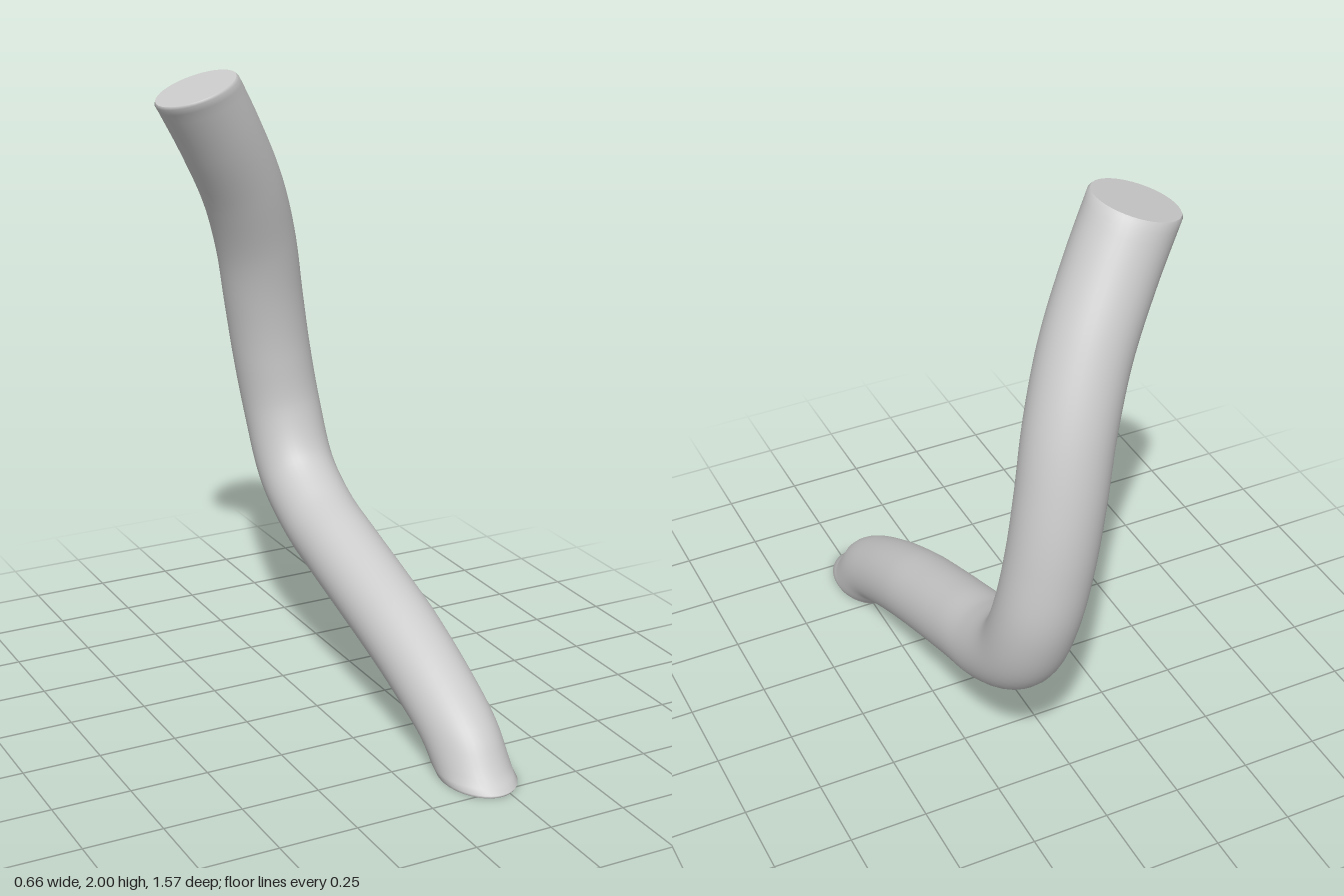
import * as THREE from 'three';

const SIDES = 40, STEPS = 90;
const V = (x, y, z) => new THREE.Vector3(x, y, z);

// Centre line from the foot to the upper end
const path = new THREE.CatmullRomCurve3([
  V(0.215, 0, 0.635), V(0.213, 0.105, 0.535), V(0.21, 0.19, 0.4), V(0.207, 0.285, 0.2),
  V(0.203, 0.36, 0), V(0.2, 0.43, -0.2), V(0.2, 0.495, -0.38), V(0.197, 0.61, -0.54),
  V(0.186, 0.8, -0.625), V(0.157, 1.0, -0.645), V(0.123, 1.2, -0.635), V(0.08, 1.4, -0.6),
  V(0.005, 1.6, -0.54), V(-0.1, 1.79, -0.475), V(-0.202, 1.955, -0.422),
]);
const footNormal = V(0, 1, 0), topNormal = V(-0.32, 0.95, 0).normalize();

// Ring round the path; near the ends its plane leans over to match the cut
function ring(t, inset = 1, lift = 0) {
  const centre = path.getPointAt(t), tangent = path.getTangentAt(t);
  const u = V(1, 0, 0).addScaledVector(tangent, -tangent.x).normalize();
  const v = tangent.clone().cross(u);
  const radius = t < 0.2 ? THREE.MathUtils.lerp(0.113, 0.125, t / 0.2)
    : THREE.MathUtils.lerp(0.125, 0.136, (t - 0.2) / 0.8);
  const n = tangent.clone()
    .lerp(footNormal, 1 - THREE.MathUtils.smoothstep(t, 0, 0.2))
    .lerp(topNormal, THREE.MathUtils.smoothstep(t, 0.85, 1)).normalize();
  const points = [];
  for (let j = 0; j < SIDES; j++) {
    const a = (j / SIDES) * Math.PI * 2;
    const d = u.clone().multiplyScalar(Math.cos(a)).addScaledVector(v, Math.sin(a)).multiplyScalar(radius);
    d.addScaledVector(tangent, -d.dot(n) / tangent.dot(n));
    points.push(d.multiplyScalar(inset).add(centre).addScaledVector(n, lift));
  }
  return points;
}

function buildMesh(name, points, index, material) {
  const geometry = new THREE.BufferGeometry().setFromPoints(points);
  geometry.setIndex(index);
  geometry.computeVertexNormals();
  const mesh = new THREE.Mesh(geometry, material);
  mesh.name = name;
  return mesh;
}

// Flat end face closing a ring
function endCap(name, points, up, material) {
  const centre = points.reduce((s, p) => s.add(p), V(0, 0, 0)).divideScalar(SIDES);
  const index = [];
  for (let j = 0; j < SIDES; j++) {
    const k = (j + 1) % SIDES;
    index.push(SIDES, ...(up ? [j, k] : [k, j]));
  }
  return buildMesh(name, [...points, centre], index, material);
}

export function createModel() {
  const group = new THREE.Group();
  group.name = 'bentTube';
  const material = new THREE.MeshStandardMaterial({ color: 0xcccccc });

  // Smooth wall with a slightly softened rim at both ends
  const rings = [ring(0, 0.96), ring(0, 1, 0.01)];
  for (let i = 1; i < STEPS; i++) rings.push(ring(i / STEPS));
  rings.push(ring(1, 1, -0.008), ring(1, 0.96));

  const index = [];
  for (let i = 0; i < rings.length - 1; i++) {
    for (let j = 0; j < SIDES; j++) {
      const k = (j + 1) % SIDES;
      const a = i * SIDES + j, b = i * SIDES + k;
      index.push(a, b, a + SIDES, b, b + SIDES, a + SIDES);
    }
  }
  group.add(buildMesh('tubeWall', rings.flat(), index, material));

  // End faces
  group.add(endCap('footCap', rings[0], false, material));
  group.add(endCap('topCap', rings[rings.length - 1], true, material));
  return group;
}
